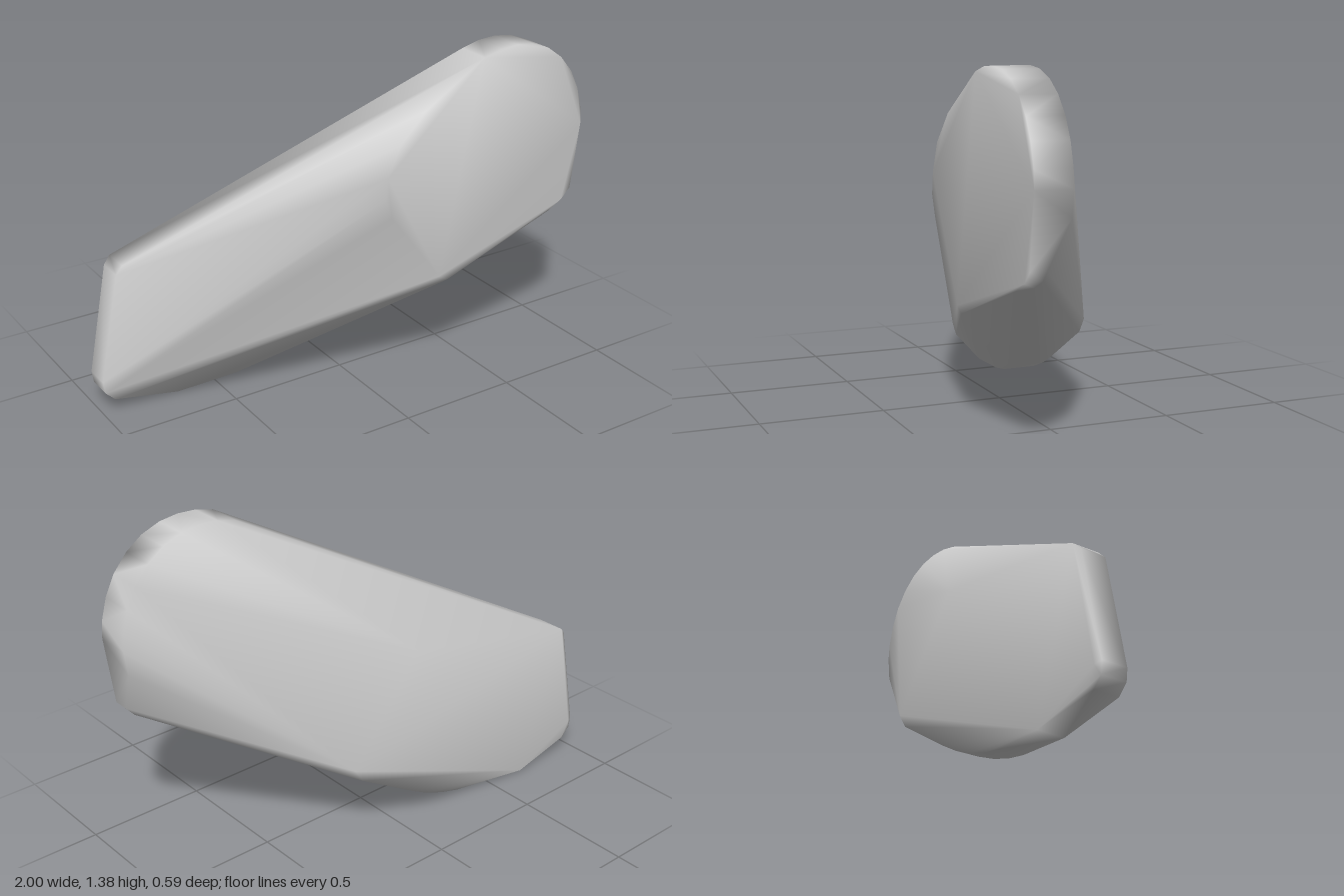
import * as THREE from 'three';
import { ConvexGeometry } from 'three/addons/geometries/ConvexGeometry.js';
import { mergeVertices } from 'three/addons/utils/BufferGeometryUtils.js';

export function createModel() {
  const group = new THREE.Group();
  const grey = new THREE.MeshStandardMaterial({ color: 0xcccccc });
  grey.name = 'plain grey';

  const points = [];
  const add = (z, outline) => outline.forEach(([x, y]) => points.push(new THREE.Vector3(x, y, z)));

  // rounded upper end: an arc swept through the thickness of the front slab
  const arc = [[0.48, 1.355], [0.56, 1.375], [0.64, 1.38], [0.72, 1.37], [0.8, 1.34], [0.87, 1.29],
    [0.93, 1.22], [0.97, 1.14], [0.995, 1.05], [1, 0.98]];
  add(0.295, arc);
  add(0.15, arc);
  add(0.15, [[0.988, 0.88]]);

  // remaining edge of the flat front face
  add(0.295, [[0.965, 0.7], [0.92, 0.655], [0.85, 0.618], [0.33, 0.44], [0.29, 0.465],
    [0.05, 0.78], [0.02, 0.86], [0.03, 0.95], [0.08, 1.07], [0.2, 1.19]]);
  add(0.23, [[0.965, 0.7], [0.93, 0.66]]);
  add(0.24, [[0.88, 0.63]]);

  // blunt lower end
  const end = [[-0.91, 0.6], [-0.997, 0.15], [-0.99, 0.1], [-0.95, 0.06]];
  add(-0.175, end);
  add(-0.285, end);
  add(-0.297, [[-0.88, 0.63], [-0.97, 0.14], [-0.93, 0.07], [-0.67, 0.005]]);
  add(-0.18, [[-0.88, 0.63], [-0.67, 0.002]]);

  // back face and the curved belly below it
  const belly = [[-0.14, 0.095], [-0.23, 0.06], [-0.32, 0.035], [-0.41, 0.022]];
  add(-0.26, [[-0.08, 0.78], [0.25, 0.36], [0.21, 0.3], [-0.06, 0.138], ...belly]);
  add(-0.18, [[-0.06, 0.138]]);
  add(-0.155, belly);

  // one continuous smooth skin
  const skin = new ConvexGeometry(points);
  skin.deleteAttribute('normal');
  const smooth = mergeVertices(skin);
  smooth.computeVertexNormals();
  const shell = new THREE.Mesh(smooth, grey);
  shell.name = 'slantedShell';
  group.add(shell);
  return group;
}
